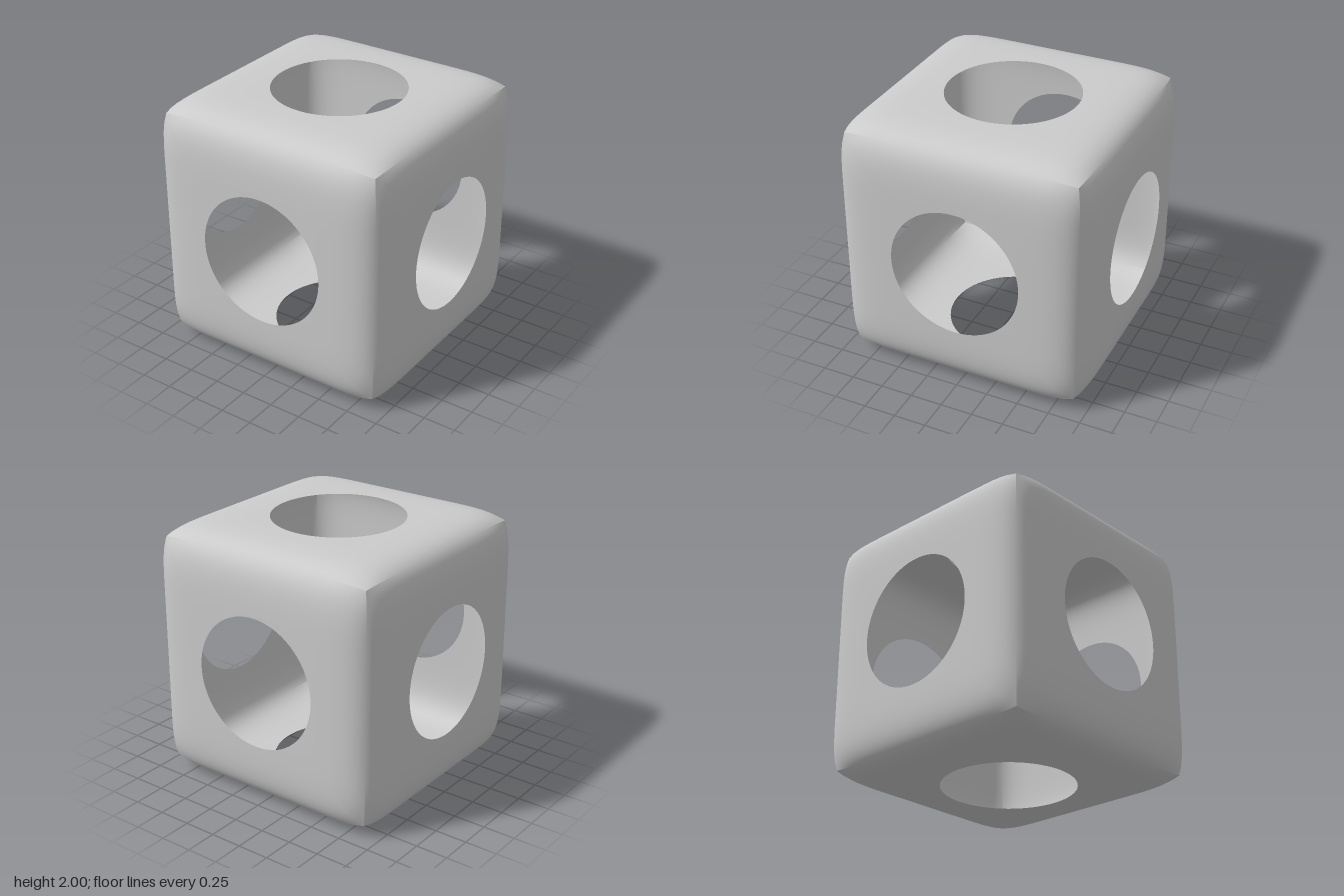
import * as THREE from 'three';
import { mergeGeometries, mergeVertices } from 'three/addons/utils/BufferGeometryUtils.js';

const HOLE = 0.507;  // radius of the round opening in each face
const POWER = 8.2;   // squareness of the puffed cube

// Pull a point of the unit cube onto the puffed cube, keeping the corners slightly pointed
function puff(p) {
  const [x, y, z] = p.toArray().map(Math.abs);
  const r = (x ** POWER + y ** POWER + z ** POWER) ** (-1 / POWER);
  return p.multiplyScalar(r * (1 + 0.024 * (x * y * z) ** 6));
}

// One face (+z): a sheet wrapped into a ring running from the round hole to the square rim
function faceGeometry() {
  const geo = new THREE.PlaneGeometry(1, 1, 128, 28);
  const pos = geo.attributes.position;
  const p = new THREE.Vector3();
  for (let i = 0; i < pos.count; i++) {
    const angle = -pos.getX(i) * Math.PI * 2;
    const t = Math.sin((pos.getY(i) + 0.5) * Math.PI / 2); // denser towards the rim
    const c = Math.cos(angle), s = Math.sin(angle);
    const rim = 1 / Math.max(Math.abs(c), Math.abs(s));
    const radius = THREE.MathUtils.lerp(HOLE, rim, t);
    puff(p.set(c * radius, s * radius, 1));
    pos.setXYZ(i, p.x, p.y, p.z);
  }
  geo.deleteAttribute('uv');
  geo.deleteAttribute('normal');
  return geo;
}

export function createModel() {
  const faces = [];
  // Four side faces, then top and bottom
  for (let i = 0; i < 4; i++) faces.push(faceGeometry().rotateY(i * Math.PI / 2));
  for (const side of [-1, 1]) faces.push(faceGeometry().rotateX(side * Math.PI / 2));

  // Weld the faces so the rounded edges shade smoothly
  const shellGeometry = mergeVertices(mergeGeometries(faces), 1e-4);
  shellGeometry.computeVertexNormals();

  const shell = new THREE.Mesh(
    shellGeometry,
    new THREE.MeshStandardMaterial({ color: 0xcccccc, side: THREE.DoubleSide })
  );
  shell.name = 'hollowCubeShell';
  shell.position.y = 1;

  const group = new THREE.Group();
  group.name = 'cubeWithRoundOpenings';
  group.add(shell);
  return group;
}
